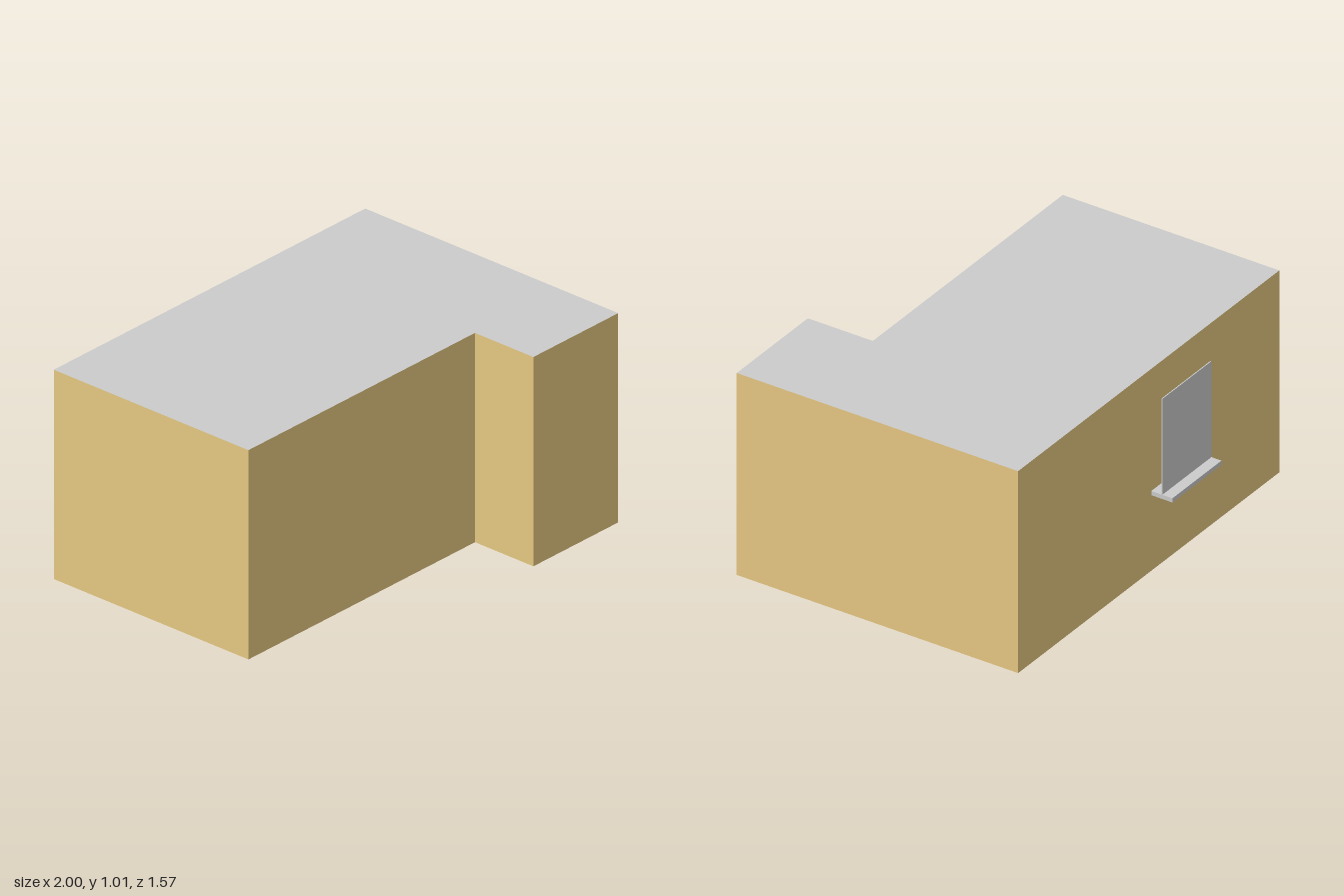
import * as THREE from 'three';

const HEIGHT = 1.01;

// Footprint corners as (x, -z), counter-clockwise seen from above
const FOOTPRINT = [
  [-1, -0.45], [0.455, -0.45], [0.455, -0.785], [1, -0.785], [1, 0.667], [-1, 0.667],
].map(([x, y]) => new THREE.Vector2(x, y));

export function createModel() {
  const model = new THREE.Group();
  model.name = 'building';

  const grey = new THREE.MeshStandardMaterial({ color: 0xcccccc });
  const tan = new THREE.MeshStandardMaterial({ color: 0xe6c882 });
  const green = new THREE.MeshStandardMaterial({ color: 0x66dd22 });

  const add = (parent, name, geometry, material, x = 0, y = 0, z = 0) => {
    const mesh = new THREE.Mesh(geometry, material);
    mesh.name = name;
    mesh.position.set(x, y, z);
    parent.add(mesh);
    return mesh;
  };

  // Walls: one upright panel along each footprint edge, facing outward
  const walls = new THREE.Group();
  walls.name = 'walls';
  model.add(walls);
  FOOTPRINT.forEach((a, i) => {
    const b = FOOTPRINT[(i + 1) % FOOTPRINT.length];
    const panel = new THREE.PlaneGeometry(a.distanceTo(b), HEIGHT);
    const wall = add(walls, `wall${i + 1}`, panel, tan, (a.x + b.x) / 2, HEIGHT / 2, -(a.y + b.y) / 2);
    wall.rotation.y = Math.atan2(b.y - a.y, b.x - a.x);
  });

  // Flat roof, facing up
  const roof = new THREE.ShapeGeometry(new THREE.Shape(FOOTPRINT)).rotateX(-Math.PI / 2);
  add(model, 'roof', roof, grey, 0, HEIGHT, 0);

  // Floor: footprint mirrored in z so that it faces down
  const mirrored = FOOTPRINT.map((p) => new THREE.Vector2(p.x, -p.y));
  const floor = new THREE.ShapeGeometry(new THREE.Shape(mirrored)).rotateX(Math.PI / 2);
  add(model, 'floor', floor, green);

  // Window standing just off the back wall: thin pane on a sill
  const backWindow = new THREE.Group();
  backWindow.name = 'backWindow';
  backWindow.position.set(-0.192, 0.4, -0.732);
  model.add(backWindow);
  add(backWindow, 'windowPane', new THREE.BoxGeometry(0.374, 0.49, 0.005), grey, 0, 0.245, 0);
  add(backWindow, 'windowSill', new THREE.BoxGeometry(0.376, 0.021, 0.109), grey);

  return model;
}
